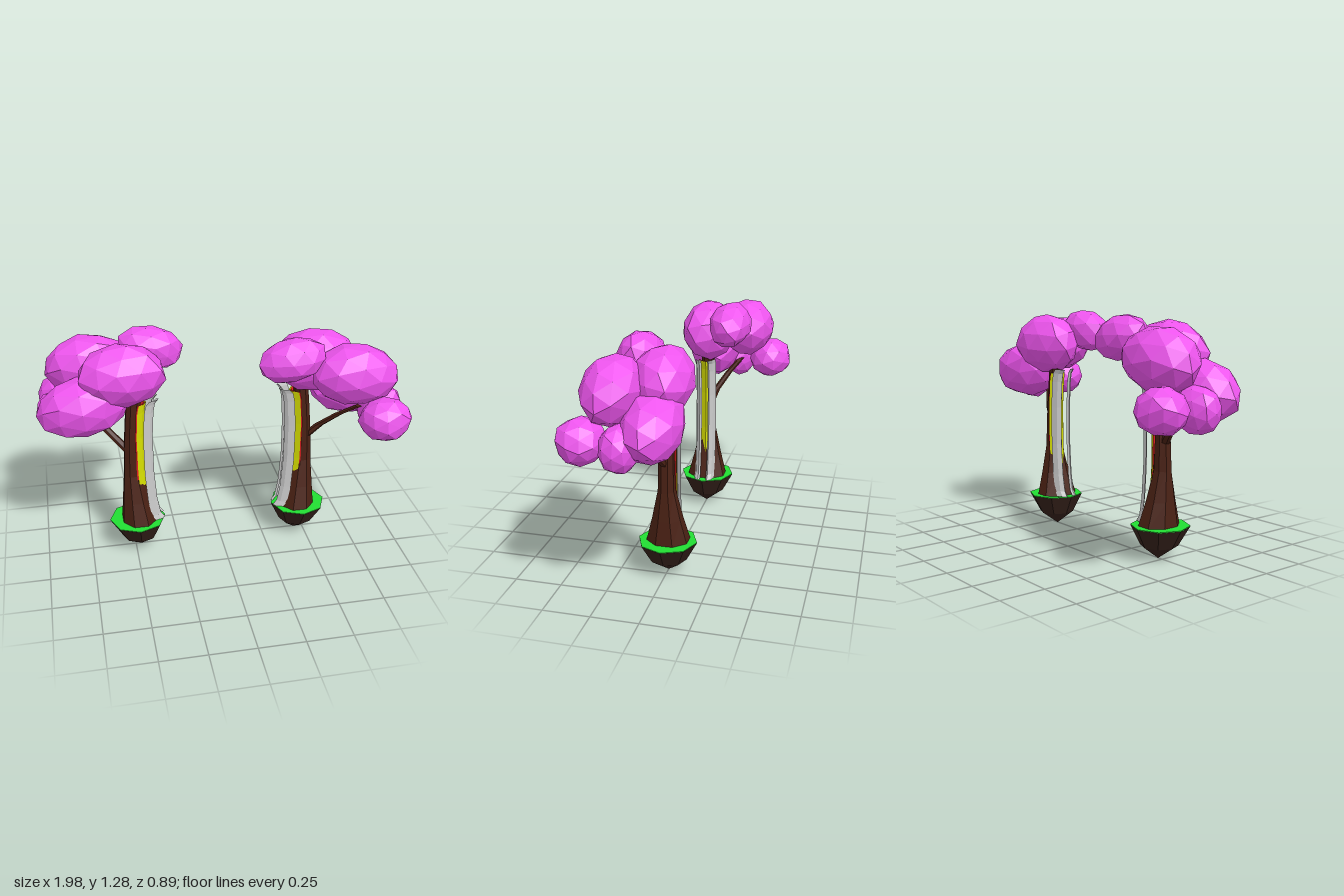
import * as THREE from 'three';

const mat = (color, side = THREE.FrontSide) =>
  new THREE.MeshStandardMaterial({ color, flatShading: true, side });
const pink = mat(0xee55ee), bark = mat(0x4a2114), soil = mat(0x34201a), grass = mat(0x22dd33);
const grey = mat(0xcccccc, THREE.DoubleSide);
const yellow = mat(0xd8e000, THREE.DoubleSide);
const red = mat(0xe02020, THREE.DoubleSide);

function add(group, name, geometry, material) {
  const mesh = new THREE.Mesh(geometry, material);
  mesh.name = name;
  group.add(mesh);
  return mesh;
}

// Closed solid through horizontal rings [y, centreX, centreZ, radiusX, radiusZ], bottom to top
function loft(rings, sides, turn = 0) {
  const n = rings.length - 1;
  const g = new THREE.CylinderGeometry(1, 1, 1, sides, n, false, turn);
  const p = g.attributes.position;
  for (let i = 0; i < p.count; i++) {
    const [y, cx, cz, rx, rz] = rings[Math.round((p.getY(i) + 0.5) * n)];
    p.setXYZ(i, cx + p.getX(i) * rx, y, cz + p.getZ(i) * rz);
  }
  g.computeVertexNormals();
  return g;
}

// Thin upright sheet: path of [y, x], cross-section of [z, x offset]
function sheet(path, section) {
  const pos = [], idx = [], m = section.length;
  path.forEach(([y, x], r) => section.forEach(([z, dx], c) => {
    pos.push(x + dx, y, z);
    if (r && c) {
      const d = r * m + c, b = d - m;
      idx.push(b - 1, d - 1, b, b, d - 1, d);
    }
  }));
  const g = new THREE.BufferGeometry();
  g.setAttribute('position', new THREE.Float32BufferAttribute(pos, 3));
  g.setIndex(idx);
  g.computeVertexNormals();
  return g;
}

// Faceted leaf clump, gently uneven; equal corners get equal offsets
function clump(radii, seed) {
  const g = new THREE.IcosahedronGeometry(1, 1);
  g.rotateY(seed * 1.3);
  g.rotateX(seed * 0.7);
  const p = g.attributes.position, v = new THREE.Vector3();
  for (let i = 0; i < p.count; i++) {
    v.fromBufferAttribute(p, i);
    const k = 1.02 + 0.05 * Math.sin(v.x * 7 + seed * 2) * Math.cos(v.y * 6 - v.z * 5 + seed);
    p.setXYZ(i, v.x * radii[0] * k, v.y * radii[1] * k, v.z * radii[2] * k);
  }
  g.computeVertexNormals();
  return g;
}

function makeTree(shift) {
  const tree = new THREE.Group();
  const stem = new THREE.Group();
  stem.name = 'stem';
  stem.position.x = shift;
  tree.add(stem);

  // Pointed clod of soil with a grass top
  add(stem, 'soil', loft([
    [0.003, -0.467, 0, 0.002, 0.002],
    [0.075, -0.475, 0, 0.1, 0.1],
    [0.183, -0.482, 0, 0.158, 0.158],
  ], 8), soil);
  add(stem, 'grass', loft([
    [0.178, -0.482, 0, 0.155, 0.155],
    [0.187, -0.482, 0, 0.158, 0.158],
  ], 8), grass);

  // Trunk flares at the foot and leans outward at mid-height
  add(stem, 'trunk', loft([
    [0.18, -0.47, 0, 0.105, 0.12],
    [0.32, -0.483, 0, 0.08, 0.082],
    [0.48, -0.495, 0, 0.054, 0.046],
    [0.65, -0.495, 0, 0.045, 0.042],
    [0.8, -0.485, 0, 0.043, 0.04],
    [1.02, -0.465, 0, 0.04, 0.037],
  ], 8, Math.PI / 8), bark);

  // Side branch reaching toward the rear clumps
  add(stem, 'branch', loft([
    [0.61, -0.5, 0, 0.028, 0.024],
    [0.7, -0.58, -0.03, 0.026, 0.022],
    [0.79, -0.67, -0.09, 0.022, 0.02],
    [0.86, -0.76, -0.15, 0.018, 0.018],
  ], 6), bark);

  // Split curtain on the inner side, with lining layers behind it
  const path = [[0.19, -0.328], [0.22, -0.35], [0.32, -0.368], [0.5, -0.38],
    [0.72, -0.38], [0.87, -0.37], [0.92, -0.36], [0.945, -0.34]];
  for (const s of [-1, 1]) {
    add(stem, 'curtain', sheet(path,
      [[0.018 * s, -0.012], [0.028 * s, 0], [0.048 * s, -0.018], [0.06 * s, -0.055]]), grey);
  }
  const bow = [[-0.05, -0.09], [-0.028, -0.06], [0, -0.045], [0.028, -0.06], [0.05, -0.09]];
  add(stem, 'outerLining', sheet(path.slice(1, -1), bow), yellow);
  add(stem, 'innerLining', sheet(path.slice(1, -1), bow.map(([z, x]) => [z * 0.97, x - 0.008])), red);

  // Leaf clumps: centre, radii, tilt
  const crown = new THREE.Group();
  crown.name = 'crown';
  tree.add(crown);
  [
    [[-0.53, 1.09, 0.005], [0.235, 0.17, 0.155], 0],
    [[-0.745, 0.92, 0.01], [0.24, 0.16, 0.15], 0.1],
    [[-0.69, 1.075, -0.2], [0.235, 0.165, 0.152], 0.08],
    [[-0.355, 1.165, -0.155], [0.178, 0.115, 0.117], -0.22],
    [[-0.835, 0.855, -0.32], [0.14, 0.115, 0.125], 0],
    [[-0.868, 0.845, -0.12], [0.125, 0.118, 0.1], 0],
  ].forEach(([centre, radii, tilt], i) => {
    const leaf = add(crown, 'leafClump', clump(radii, i + 1), pink);
    leaf.position.set(...centre);
    leaf.rotation.z = tilt;
  });
  return tree;
}

export function createModel() {
  const model = new THREE.Group();
  model.name = 'treePair';
  const first = makeTree(0);
  first.name = 'rightTree';
  // Second tree is the first turned half round
  const second = makeTree(0.018);
  second.name = 'leftTree';
  second.rotation.y = Math.PI;
  model.add(first, second);
  return model;
}
